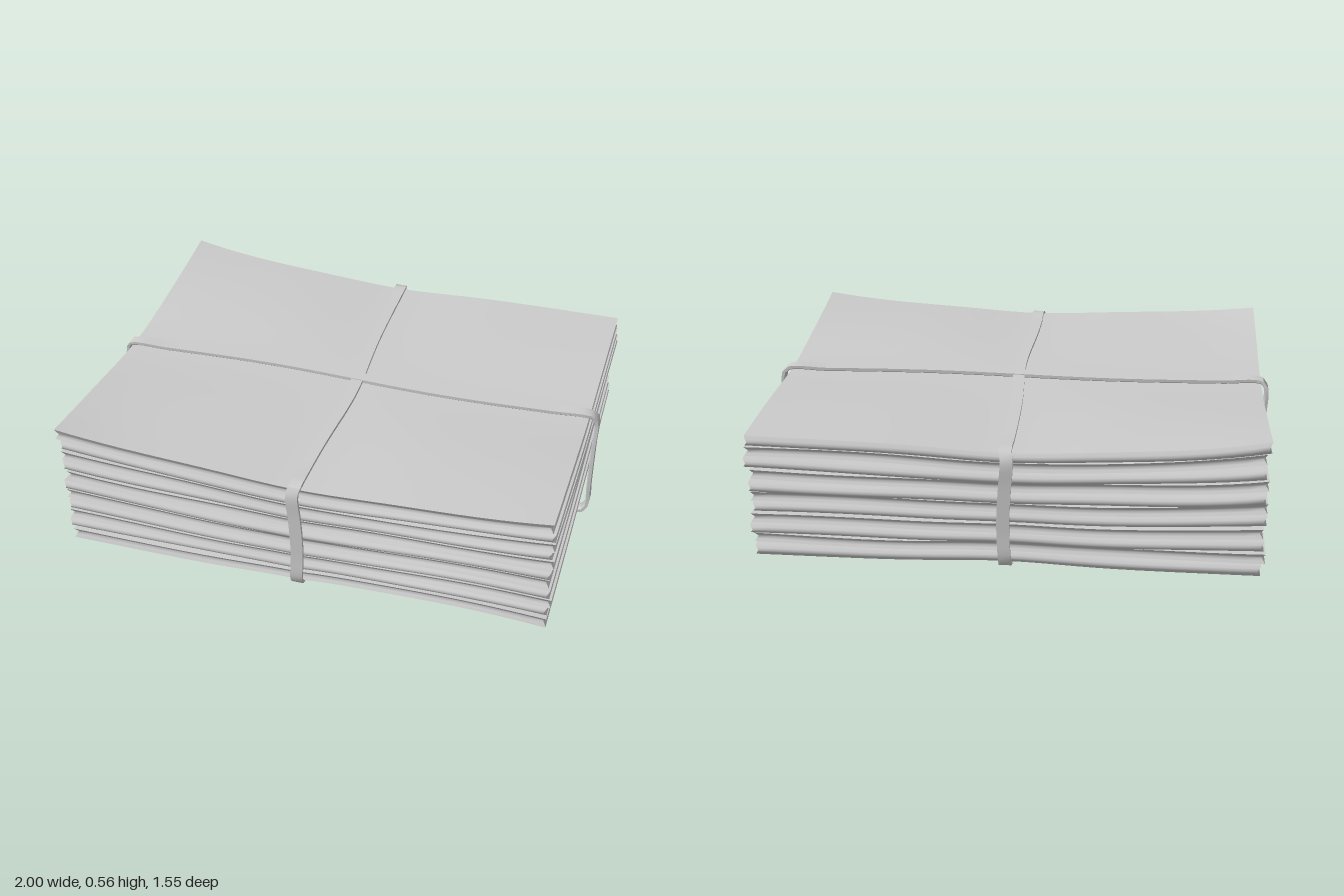
import * as THREE from 'three';
import { toCreasedNormals } from 'three/addons/utils/BufferGeometryUtils.js';

const SHEETS = 11, HX = 0.965, HZ = 0.745;

function seeded(seed) {
  let s = seed;
  return () => (s = (s * 16807) % 2147483647) / 2147483647;
}

// 0 under the crossing bands, 1 away from them
const free = (x, z) => (1 - Math.exp(-((x / 0.3) ** 2))) * (1 - Math.exp(-((z / 0.3) ** 2)));

// Underside and top of the whole stack
function bottomY(x, z) {
  const lift = x > 0 && z > 0 ? 0.04 * Math.min(1, z / HZ) ** 2 * Math.sin(Math.min(1, x / HX) * 2.5) : 0;
  return 0.022 * (1 - free(x, z)) * Math.exp(-(x * x + z * z) * 0.5) + lift;
}
function topY(x, z) {
  const corner = x < 0 ? (z < 0 ? 0.07 : 0.04) : (z < 0 ? 0.005 : 0.048);
  const u = Math.abs(x) / HX, v = Math.abs(z) / HZ;
  return 0.466 + 0.02 * free(x, z) + corner * u ** 3 * v ** 2;
}

// One folded paper: a thin box bent to its level in the stack
function sheetGeometry(i, rand) {
  const g = new THREE.BoxGeometry(2, 2, 2, 28, 4, 22);
  const p = g.attributes.position;
  const last = i === SHEETS - 1, first = i === 0;
  const hx = HX - 0.012 + rand() * 0.014, hz = HZ - 0.012 + rand() * 0.014;
  const ox = (rand() - 0.5) * 0.016, oz = (rand() - 0.5) * 0.016;
  const turn = (rand() - 0.5) * 0.016, phase = rand() * 6.28;
  const foldSide = i % 2 ? 1 : -1;
  for (let k = 0; k < p.count; k++) {
    const u = p.getX(k), t = p.getY(k), v = p.getZ(k);
    // rounded fold on one long edge, page groove on the others
    const round = 0.012 * (1 - t * t), groove = -0.012 * (1 - Math.abs(t));
    const ex = Math.abs(u) > 0.999 ? groove * Math.sign(u) : 0;
    const ez = Math.abs(v) > 0.999 ? (Math.sign(v) === foldSide ? round : groove) * Math.sign(v) : 0;
    const x0 = u * hx + ex, z0 = v * hz + ez;
    const x = x0 + z0 * turn + ox, z = z0 - x0 * turn + oz;
    const b = bottomY(x, z), pitch = (topY(x, z) - b) / SHEETS;
    const rim = Math.max(Math.abs(u) ** 8, Math.abs(v) ** 8);
    const half = pitch * (0.49 - 0.09 * rim * (0.4 + 0.6 * free(x, z)));
    const wobble = first || last ? 0 : 0.005 * rim * free(x, z) * Math.sin(4 * u + 3 * v + phase);
    let y = b + pitch * (i + 0.5) + wobble + half * t;
    if (first && t === -1) y = b;
    if (last && t === 1) y = topY(x, z);
    p.setXYZ(k, x, y, z);
  }
  g.computeVertexNormals();
  return g;
}

// Flat strap swept round a closed loop; `side` is the direction of its width
function strapGeometry(points, side) {
  const curve = new THREE.CatmullRomCurve3(points, true, 'centripetal');
  const N = 160, W = 0.024, T = 0.008, pos = [], idx = [];
  const section = [[-W, -T], [W, -T], [W, T * 0.5], [W * 0.8, T], [-W * 0.8, T], [-W, T * 0.5]];
  const M = section.length;
  for (let i = 0; i < N; i++) {
    const c = curve.getPointAt(i / N), tan = curve.getTangentAt(i / N);
    const out = new THREE.Vector3().crossVectors(side, tan).normalize();
    for (const [w, h] of section) {
      const q = c.clone().addScaledVector(side, w).addScaledVector(out, h);
      pos.push(q.x, q.y, q.z);
    }
    for (let j = 0; j < M; j++) {
      const a = i * M + j, b = i * M + (j + 1) % M;
      const c2 = ((i + 1) % N) * M + j, d = ((i + 1) % N) * M + (j + 1) % M;
      idx.push(a, b, c2, b, d, c2);
    }
  }
  const g = new THREE.BufferGeometry();
  g.setAttribute('position', new THREE.Float32BufferAttribute(pos, 3));
  g.setIndex(idx);
  return toCreasedNormals(g, 0.7);
}

// Loop points: over the top, down one end, back underneath, up the other end
function strapPoints(alongX, reach, sway, raise) {
  const pts = [];
  const add = (s, y, w) => pts.push(alongX ? new THREE.Vector3(s, y, w) : new THREE.Vector3(w, y, s));
  const h = (f, s, w) => (alongX ? f(s, w) : f(w, s));
  const steps = 12, inner = reach - 0.016;
  const end = (sgn, ys) => ys.forEach((y) => add(sgn * reach, y, sway(sgn) + 0.008 * Math.sin(y * 9)));
  for (let i = 0; i <= steps; i++) {
    const f = -1 + (2 * i) / steps, w = sway(f);
    add(f * inner, h(topY, f * inner, w) + raise, w);
  }
  end(1, [0.45, 0.34, 0.24, 0.14, 0.04]);
  for (let i = 0; i <= steps; i++) {
    const f = 1 - (2 * i) / steps, w = sway(f) * 0.8;
    add(f * inner, Math.max(0.01, h(bottomY, f * inner, w) - raise), w);
  }
  end(-1, [0.04, 0.14, 0.24, 0.34, 0.45]);
  return pts;
}

export function createModel() {
  const model = new THREE.Group();
  model.name = 'tiedPaperStack';
  const material = new THREE.MeshStandardMaterial({ color: 0xcccccc, side: THREE.DoubleSide });
  const add = (geometry, name, parent) => {
    const m = new THREE.Mesh(geometry, material);
    m.name = name;
    parent.add(m);
  };

  // Stack of folded papers
  const papers = new THREE.Group();
  papers.name = 'papers';
  model.add(papers);
  const rand = seeded(4711);
  for (let i = 0; i < SHEETS; i++) add(sheetGeometry(i, rand), `paper${i + 1}`, papers);

  // Two crossing straps
  const swayX = (f) => 0.012 * Math.sin(f * 4.2) - 0.004 * f;
  const swayZ = (f) => 0.024 * Math.exp(-(((f - 0.15) / 0.4) ** 2)) - 0.006;
  add(strapGeometry(strapPoints(true, 0.991, swayX, 0.008), new THREE.Vector3(0, 0, -1)), 'longStrap', model);
  add(strapGeometry(strapPoints(false, 0.763, swayZ, 0.005), new THREE.Vector3(1, 0, 0)), 'crossStrap', model);
  return model;
}
